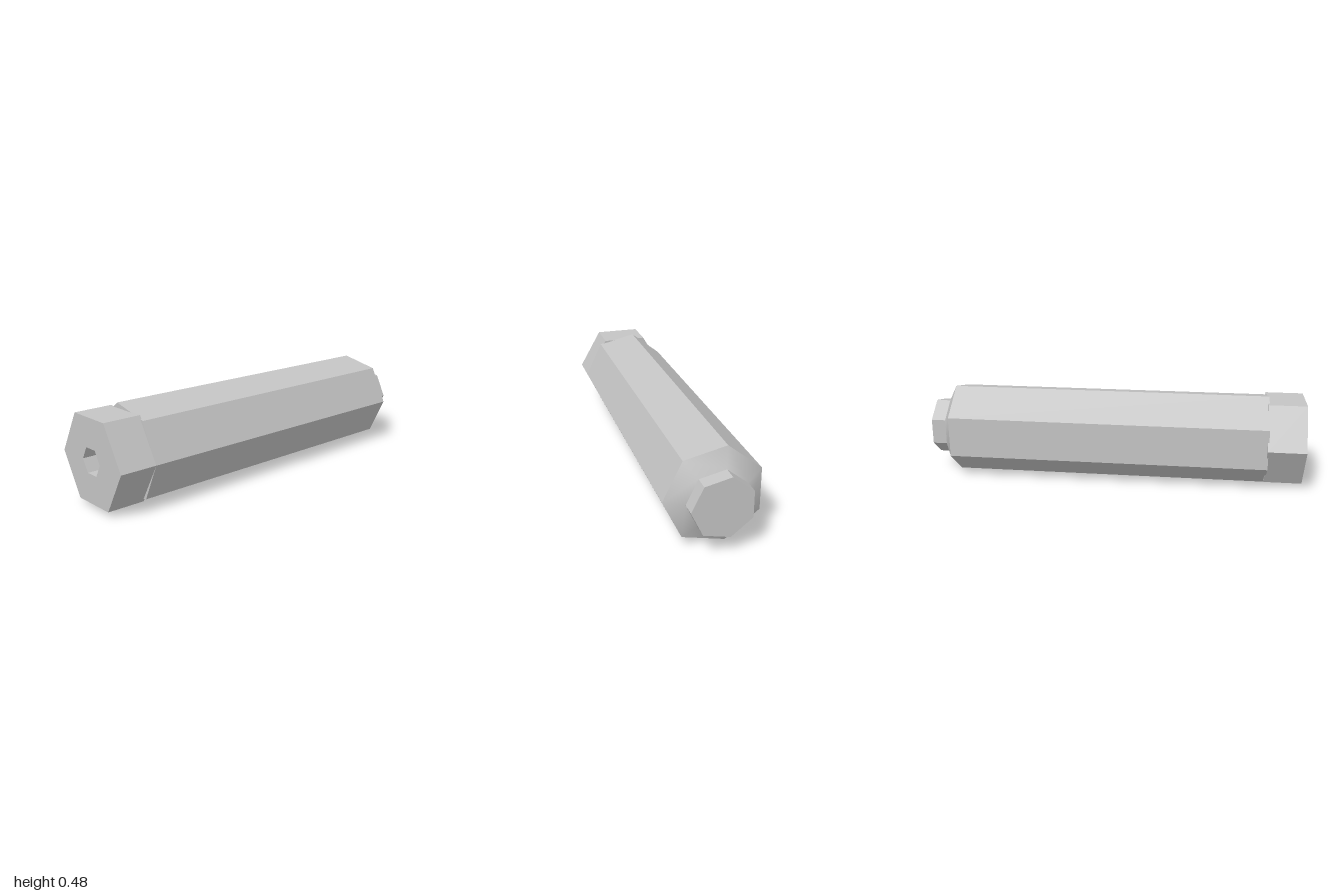
import * as THREE from 'three';
import { toCreasedNormals } from 'three/addons/utils/BufferGeometryUtils.js';

const AXIS_HEIGHT = 0.24;

// Faceted turned part lying along x; profile is a list of [radius, x]
function turnedPart(name, profile, sides, material) {
  const points = profile.map(([r, x]) => new THREE.Vector2(r, x));
  const lathe = new THREE.LatheGeometry(points, sides).rotateZ(-Math.PI / 2);
  const mesh = new THREE.Mesh(toCreasedNormals(lathe, Math.PI / 6), material);
  mesh.name = name;
  mesh.position.y = AXIS_HEIGHT;
  return mesh;
}

export function createModel() {
  const group = new THREE.Group();
  group.name = 'bolt';
  const steel = new THREE.MeshStandardMaterial({ color: 0xc4c4c4 });
  steel.name = 'steel grey';

  // Hexagonal head with a hexagonal socket sunk into its end
  group.add(turnedPart('head', [
    [0, -0.88], [0.073, -0.88], [0.073, -1],
    [0.246, -1], [0.246, -0.803], [0, -0.803],
  ], 6, steel));

  // Seven-sided shank with a tapered shoulder and a narrow tip
  group.add(turnedPart('shank', [
    [0, -0.81], [0.246, -0.81], [0.246, 0.877],
    [0.153, 0.925], [0.153, 1], [0, 1],
  ], 7, steel));

  return group;
}
